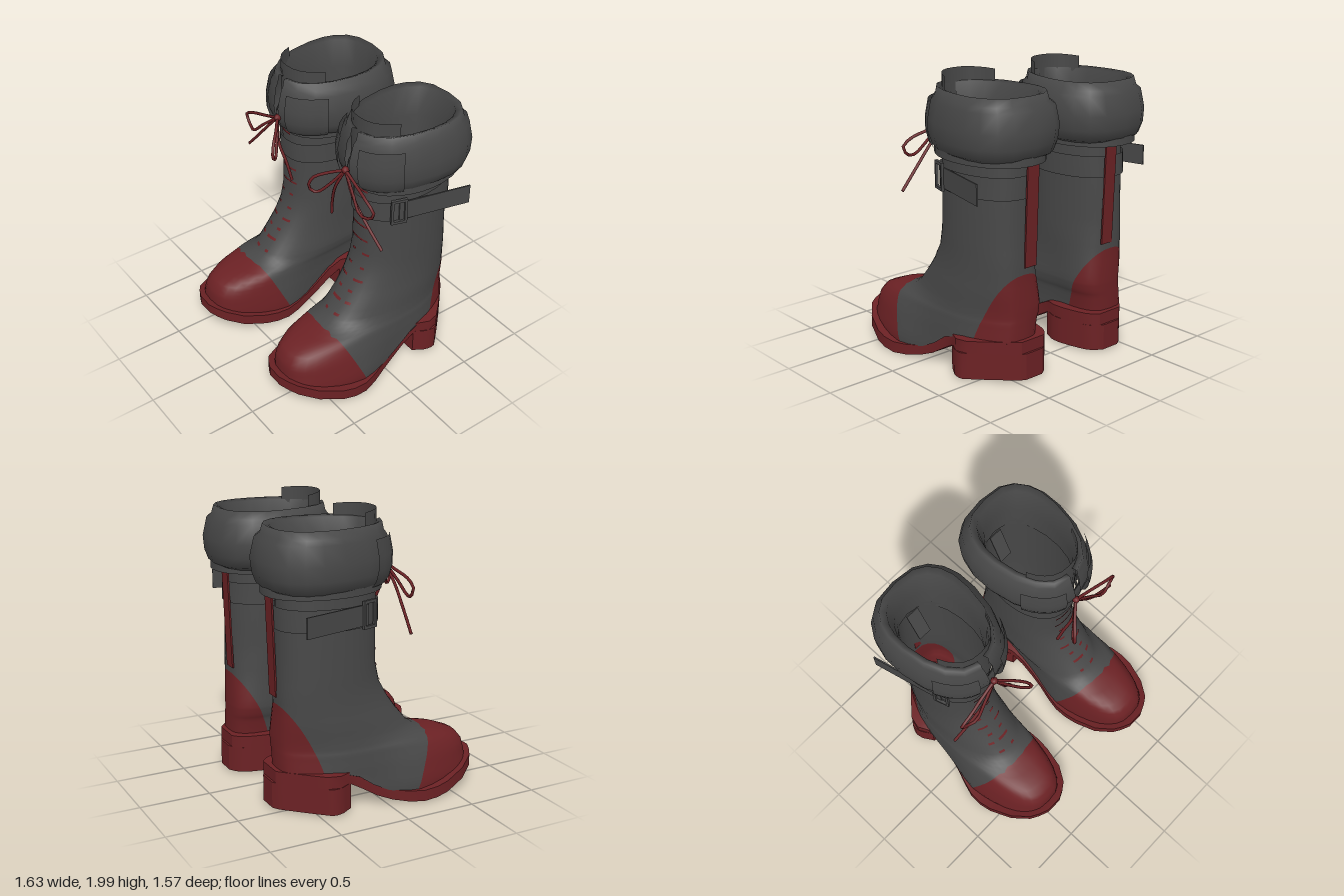
import * as THREE from 'three';
import { mergeVertices } from 'three/addons/utils/BufferGeometryUtils.js';

const grey = new THREE.MeshStandardMaterial({ color: 0x474747, side: THREE.DoubleSide });
grey.name = 'greyLeather';
const red = new THREE.MeshStandardMaterial({ color: 0x6b2124, side: THREE.DoubleSide });
red.name = 'redLeather';
const { smoothstep } = THREE.MathUtils;

// Horizontal sections of the upper: y, back z, front z, z of widest point, centre x, half width
const UPPER = [
  [0.06, -0.67, 0.72, 0.0, 0.47, 0.315], [0.14, -0.67, 0.735, 0.0, 0.47, 0.315],
  [0.24, -0.68, 0.73, 0.0, 0.465, 0.295], [0.30, -0.68, 0.715, 0.0, 0.462, 0.28],
  [0.36, -0.68, 0.67, -0.02, 0.455, 0.265], [0.40, -0.68, 0.57, -0.05, 0.45, 0.257],
  [0.43, -0.68, 0.42, -0.1, 0.44, 0.252], [0.46, -0.68, 0.34, -0.14, 0.435, 0.25],
  [0.50, -0.68, 0.285, -0.18, 0.43, 0.25],
  [0.60, -0.675, 0.20, -0.24, 0.43, 0.245], [0.70, -0.67, 0.13, -0.28, 0.425, 0.24],
  [0.82, -0.67, 0.065, -0.3, 0.42, 0.24], [0.95, -0.665, 0.035, -0.3, 0.42, 0.24],
  [1.20, -0.66, 0.03, -0.3, 0.42, 0.237], [1.56, -0.65, 0.035, -0.3, 0.42, 0.232],
];
// Sections of the folded cuff, up the outside, over the rim and down the inside
const CUFF = [
  [1.50, -0.70, 0.06, -0.42, 0.42, 0.28], [1.53, -0.75, 0.10, -0.42, 0.41, 0.335],
  [1.60, -0.775, 0.125, -0.42, 0.41, 0.358], [1.70, -0.785, 0.135, -0.42, 0.405, 0.366],
  [1.83, -0.755, 0.11, -0.42, 0.405, 0.345], [1.86, -0.72, 0.09, -0.42, 0.41, 0.31],
  [1.915, -0.705, 0.08, -0.42, 0.41, 0.295], [1.90, -0.665, 0.04, -0.4, 0.41, 0.255],
  [1.70, -0.645, 0.02, -0.35, 0.415, 0.228], [1.50, -0.645, 0.02, -0.3, 0.42, 0.225],
];
// Plan of the sole: z, centre x, half width, top y, bottom y
const SOLE = [
  [-0.725, 0.37, 0.07, 0.29, 0.2], [-0.70, 0.37, 0.115, 0.29, 0.2], [-0.66, 0.37, 0.155, 0.29, 0.2],
  [-0.61, 0.385, 0.19, 0.29, 0.2], [-0.52, 0.418, 0.245, 0.29, 0.2], [-0.42, 0.455, 0.30, 0.29, 0.2],
  [-0.35, 0.452, 0.292, 0.29, 0.2], [-0.27, 0.445, 0.25, 0.28, 0.2], [-0.2, 0.45, 0.245, 0.25, 0.16],
  [-0.1, 0.455, 0.248, 0.175, 0.09], [0.05, 0.465, 0.275, 0.1, 0.03], [0.2, 0.475, 0.325, 0.085, 0.005],
  [0.3, 0.48, 0.338, 0.09, 0.012], [0.42, 0.48, 0.325, 0.11, 0.03], [0.6, 0.47, 0.265, 0.16, 0.08],
  [0.73, 0.465, 0.17, 0.21, 0.13], [0.78, 0.46, 0.06, 0.225, 0.15],
];

const mix = (a, b, t) => a.map((v, i) => v + (b[i] - v) * t);
function rowAt(table, i) {
  const k = Math.max(0, Math.min(table.length - 2, Math.floor(i)));
  return mix(table[k], table[k + 1], i - k);
}
function lookup(table, key) {
  let k = 0;
  while (k < table.length - 2 && key > table[k + 1][0]) k++;
  const t = (key - table[k][0]) / (table[k + 1][0] - table[k][0]);
  return mix(table[k], table[k + 1], Math.max(0, Math.min(1, t)));
}
// Point on a section; angle 0 is the front, a quarter turn is +x; a smaller power is boxier
function onSection([y, zb, zf, zm, cx, w], a, off = 0, power = 0.85) {
  const c = Math.cos(a), s = Math.sin(a);
  return [cx + Math.sign(s) * Math.abs(s) ** power * w + off * s, y,
    zm + c * ((c > 0 ? zf - zm : zm - zb) + off)];
}
const onCuff = (r, a, off) => onSection(r, a, off, Math.cos(a) < 0 ? 0.7 : 0.85);
// Grid surface from a rule f(u, v)
function sheet(nu, nv, f) {
  const g = new THREE.PlaneGeometry(1, 1, nu, nv), p = g.attributes.position, uv = g.attributes.uv;
  for (let i = 0; i < p.count; i++) p.setXYZ(i, ...f(uv.getX(i), uv.getY(i)));
  g.deleteAttribute('uv');
  g.deleteAttribute('normal');
  const m = mergeVertices(g, 1e-5);
  m.computeVertexNormals();
  return m;
}
// Band lying on the upper between two heights and two angles
const band = (y0, y1, a0, a1, off, n = 28) => sheet(n, 1, (u, v) =>
  onSection(lookup(UPPER, y0 + (y1 - y0) * v), a0 + (a1 - a0) * u, off));

// Cuts a surface along f = 0 and keeps the side where f * sign is positive
function cut(geo, f, sign) {
  const g = geo.toNonIndexed(), P = g.attributes.position, N = g.attributes.normal, pos = [], nor = [];
  const vert = i => [P.getX(i), P.getY(i), P.getZ(i), N.getX(i), N.getY(i), N.getZ(i)];
  for (let i = 0; i < P.count; i += 3) {
    const tri = [vert(i), vert(i + 1), vert(i + 2)], d = tri.map(q => sign * f(...q)), poly = [];
    for (let k = 0; k < 3; k++) {
      const n = (k + 1) % 3;
      if (d[k] >= 0) poly.push(tri[k]);
      if (d[k] >= 0 !== d[n] >= 0) poly.push(mix(tri[k], tri[n], d[k] / (d[k] - d[n])));
    }
    for (let k = 1; k + 1 < poly.length; k++)
      for (const q of [poly[0], poly[k], poly[k + 1]]) { pos.push(...q.slice(0, 3)); nor.push(...q.slice(3)); }
  }
  const out = new THREE.BufferGeometry();
  out.setAttribute('position', new THREE.Float32BufferAttribute(pos, 3));
  out.setAttribute('normal', new THREE.Float32BufferAttribute(nor, 3));
  return out;
}
// Block following the sole plan between two z values
function slab(z0, z1, top, bottom) {
  const g = new THREE.BoxGeometry(1, 1, 1, 4, 1, 22), p = g.attributes.position;
  for (let i = 0; i < p.count; i++) {
    const z = (z0 + z1) / 2 + (z1 - z0) / 2 * Math.sin(p.getZ(i) * Math.PI), r = lookup(SOLE, z);
    p.setXYZ(i, r[1] + 2 * r[2] * p.getX(i), p.getY(i) > 0 ? top(r) : bottom(r), z);
  }
  g.computeVertexNormals();
  return g;
}
const lace = pts => new THREE.TubeGeometry(
  new THREE.CatmullRomCurve3(pts.map(q => new THREE.Vector3(...q))), 18, 0.011, 5);
const box = (w, h, d, x, y, z, rx = 0, ry = 0) =>
  new THREE.BoxGeometry(w, h, d).rotateX(rx).rotateY(ry).translate(x, y, z);

// Red areas: scalloped toe cap and curved heel counter
function redArea(x, y, z) {
  const wave = Math.abs(x - 0.47) < 0.118 ? 0.012 * (1 + Math.cos((x - 0.47) * 53)) : 0;
  const rise = y - 0.29;
  return Math.max(z - 0.18 - 0.43 * y - wave, -z - 0.445 - 0.5 * rise + 0.5 * rise * (0.73 - y));
}

function bootParts() {
  const parts = [], add = (name, geo, mat) => parts.push([name, geo, mat]);
  const TAU = Math.PI * 2;

  // Upper with a narrowed waist and inset heel, cut into grey leather, red toe cap and heel counter
  const upper = sheet(40, (UPPER.length - 1) * 2, (u, v) => {
    const r = rowAt(UPPER, v * (UPPER.length - 1)), a = u * TAU;
    const power = Math.cos(a) < 0 ? 0.6 + 0.25 * smoothstep(r[0], 0.5, 0.95) : 0.7 + 0.15 * smoothstep(r[0], 0.3, 0.5);
    const q = onSection(r, a, 0, power);
    const waist = Math.max(0, 1 - 0.25 / r[5]) * (1 - smoothstep(q[2], -0.1, 0.28));
    q[0] -= (q[0] - r[4]) * waist;
    q[0] -= 0.05 * smoothstep(-q[2], 0.3, 0.67) * (1 - smoothstep(q[1], 0.4, 0.9));
    q[1] = Math.max(q[1], lookup(SOLE, q[2])[3] - 0.012);
    return q;
  });
  add('upper', cut(upper, redArea, -1), grey);
  add('toeCapAndHeelCounter', cut(upper, redArea, 1), red);

  // Sole and heel block
  add('sole', slab(-0.71, 0.78, r => r[3], r => r[4]), red);
  add('heelBlock', slab(-0.725, -0.265, () => 0.205, () => 0.02), red);

  // Folded cuff with a V slit at the front
  add('cuff', sheet(18, CUFF.length - 1, (u, v) => {
    const r = rowAt(CUFF, v * (CUFF.length - 1));
    const gap = 0.02 + 0.16 * Math.max(0, r[0] - 1.6);
    return onCuff(r, gap + u * (TAU - 2 * gap));
  }), grey);
  for (const s of [-1, 1]) add('cuffFlap', sheet(5, 4, (u, v) =>
    onCuff(rowAt(CUFF, 0.5 + 3.5 * v), s * 0.58 + 0.36 * (2 * u - 1), 0.018)), grey);
  add('underCuff', sheet(28, 1, (u, v) => {
    const a = 0.15 + u * (TAU - 0.3);
    return onSection(lookup(UPPER, 1.48 + 0.06 * v), a, 0.02 + 0.08 * Math.sin(a / 2));
  }), grey);
  add('tongue', sheet(10, 2, (u, v) => {
    const q = onSection(lookup(UPPER, 1.5), (u - 0.5) * 2.1, 0.01);
    return [q[0] - 0.02, 1.5 + 0.5 * v - (v === 1 ? 0.012 * (2 * u - 1) ** 2 : 0), q[2]];
  }), grey);

  // Ankle strap, its loose end and the buckle
  add('ankleStrap', band(1.25, 1.4, 0, TAU, 0.018, 36), grey);
  add('strapEnd', box(0.01, 0.14, 0.52, 0.71, 1.33, -0.37, 0, -0.24), grey);
  for (const s of [-1, 1]) {
    add('buckleBar', box(0.02, 0.02, 0.11, 0.655, 1.335 + s * 0.085, -0.11, 0, -0.3), grey);
    add('buckleSide', box(0.02, 0.19, 0.018, 0.655 - s * 0.014, 1.335, -0.11 + s * 0.046, 0, -0.3), grey);
  }

  // Back pull strap and inner tab
  add('backStrap', box(0.1, 0.71, 0.012, 0.36, 1.135, -0.68, -0.03), red);
  add('innerTab', box(0.1, 0.25, 0.01, 0.4, 1.42, -0.57, -0.4), grey);

  // Lace rungs up the front: height, start angle, end angle
  const rungs = [[0.51, -0.2, -0.1], [0.51, 0.1, 0.25], [0.59, -0.22, 0.06], [0.59, 0.2, 0.36],
    [0.66, -0.2, -0.08], [0.66, 0.12, 0.25], [0.735, -0.34, -0.08], [0.735, 0.12, 0.4], [0.82, -0.22, -0.08],
    [0.82, 0.18, 0.3], [0.93, -0.18, -0.06], [0.93, 0.14, 0.36], [1.04, -0.3, 0.28],
    [1.155, -0.28, 0.24], [1.45, -0.1, 0.25]];
  for (const [y, a, b] of rungs) add('laceRung', band(y - 0.008, y + 0.008, a, b, 0.005, 5), red);

  // Bow
  const k = [0.39, 1.62, 0.135];
  add('laceKnot', new THREE.SphereGeometry(0.026, 8, 6).translate(...k), red);
  add('outerLoop', lace([k, [0.52, 1.58, 0.15], [0.66, 1.54, 0.17], [0.735, 1.49, 0.17],
    [0.70, 1.43, 0.17], [0.62, 1.42, 0.19], [0.52, 1.51, 0.17], k]), red);
  add('innerLoop', lace([k, [0.30, 1.58, 0.21], [0.23, 1.53, 0.28], [0.21, 1.45, 0.30],
    [0.24, 1.41, 0.26], [0.31, 1.49, 0.20], k]), red);
  add('outerTail', lace([k, [0.5, 1.49, 0.16], [0.64, 1.34, 0.15], [0.78, 1.2, 0.13]]), red);
  add('innerTail', lace([k, [0.33, 1.47, 0.17], [0.27, 1.32, 0.15], [0.235, 1.18, 0.13]]), red);
  return parts;
}

function mirrored(geo) {
  const g = geo.clone().scale(-1, 1, 1);
  if (!g.index) g.setIndex([...Array(g.attributes.position.count).keys()]);
  g.index.array.reverse();
  return g;
}

export function createModel() {
  const model = new THREE.Group();
  model.name = 'bootPair';
  const parts = bootParts();
  for (const side of ['left', 'right']) {
    const boot = new THREE.Group();
    boot.name = side + 'Boot';
    for (const [name, geo, mat] of parts) {
      const mesh = new THREE.Mesh(side === 'left' ? geo : mirrored(geo), mat);
      mesh.name = name;
      boot.add(mesh);
    }
    model.add(boot);
  }
  return model;
}
